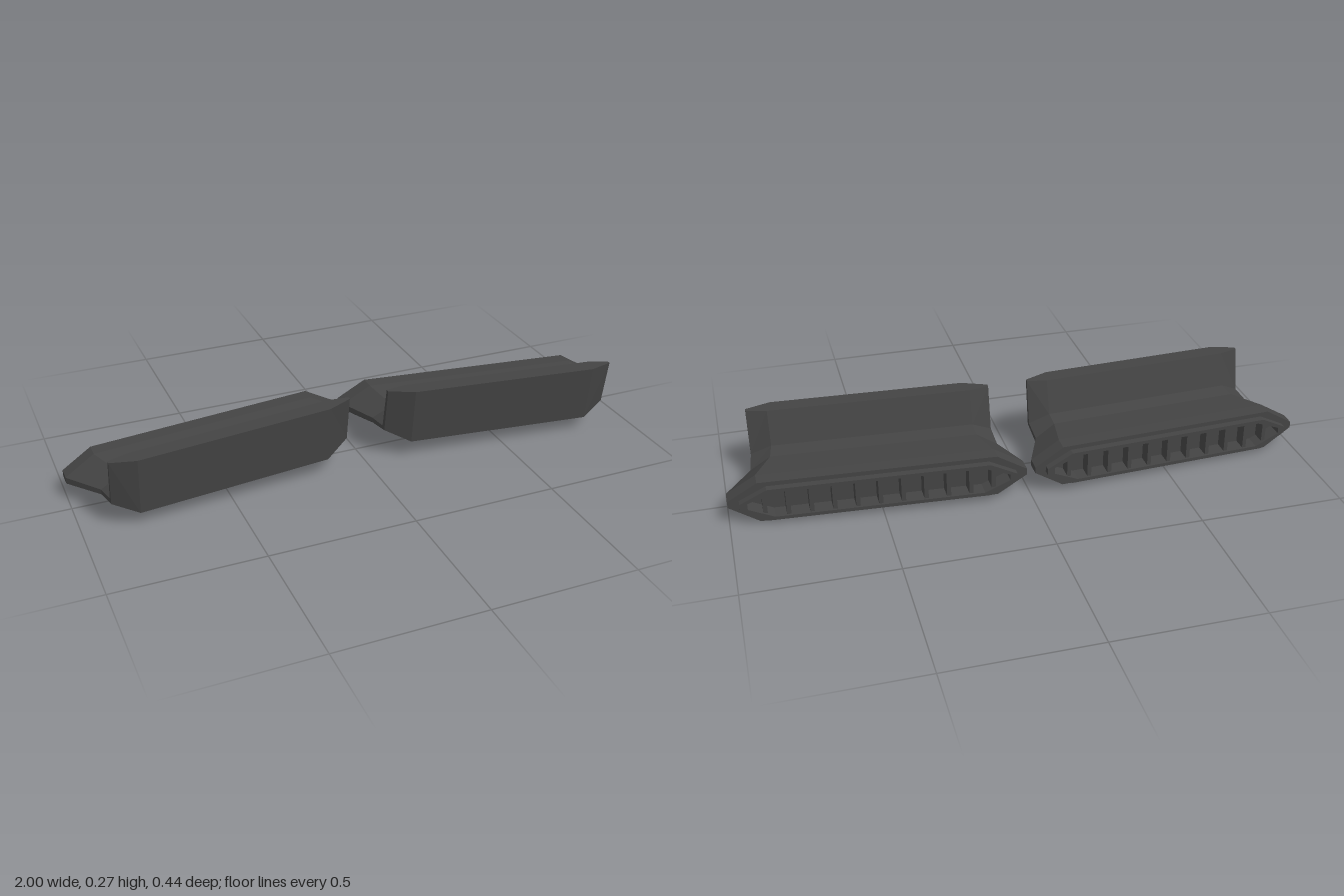
import * as THREE from 'three';

const material = new THREE.MeshStandardMaterial({ color: 0x444444, flatShading: true });

// Each duct is swept back and drops slightly toward its outer end
function slant(x, y, z) {
  const d = Math.abs(x) - 0.48;
  return [x, y - 0.02 * d, z + 0.09 * d];
}

// Stations from the top mouth, round the elbow, to the rear outlet and back into its recess.
// c: centre x, w: half width, f/b: insets of the front and back corners,
// F, T, U, B: [z, y] of the front (lower) edge, two tip edges and back (upper) edge
const stations = [
  { c: 0.485, w: 0.415, f: 0.085, b: 0.07, F: [0.187, 0.262], T: [0.155, 0.262], U: [0.143, 0.262], B: [0.126, 0.262] },
  { c: 0.485, w: 0.415, f: 0.085, b: 0.07, F: [0.16, 0.057], T: [0.127, 0.098], U: [0.112, 0.109], B: [0.09, 0.146] },
  { c: 0.49, w: 0.42, f: 0.085, b: 0.07, F: [0.036, 0.032], T: [0.025, 0.078], U: [0.025, 0.096], B: [0.03, 0.139] },
  ...[
    [-0.105, 0.4925, 0.01, 0.155, 0.1],
    [-0.157, 0.4925, 0.008, 0.155, 0.1],
    [-0.157, 0.455, 0.023, 0.14, 0.09],
    [-0.182, 0.455, 0.023, 0.14, 0.09],
    [-0.182, 0.43, 0.035, 0.128, 0.085],
    [-0.125, 0.43, 0.035, 0.128, 0.085],
  ].map(([z, w, low, high, inset]) => ({
    c: 0.507, w, f: inset, b: inset, F: [z, low], T: [z, 0.073], U: [z, 0.095], B: [z, high],
  })),
];

// Eight corners of one station
function ring({ c, w, f, b, F, T, U, B }, side) {
  const at = (dx, [z, y]) => slant(side * (c + dx), y, z);
  return [
    at(-w + f, F), at(w - f, F), at(w, T), at(w, U),
    at(w - b, B), at(-w + b, B), at(-w, U), at(-w, T),
  ];
}

function ductShell(side) {
  const rings = stations.map((s) => ring(s, side));
  const out = [];
  const tri = (a, b, c) => out.push(...a, ...(side > 0 ? [...b, ...c] : [...c, ...b]));
  for (let s = 0; s < rings.length - 1; s++) {
    const a = rings[s], b = rings[s + 1];
    for (let i = 0; i < 8; i++) {
      const j = (i + 1) % 8;
      tri(b[i], b[j], a[j]);
      tri(b[i], a[j], a[i]);
    }
  }
  // Top cap and recess floor
  const top = rings[0], floor = rings[rings.length - 1];
  for (let i = 1; i < 7; i++) {
    tri(top[0], top[i], top[i + 1]);
    tri(floor[0], floor[i + 1], floor[i]);
  }
  const geometry = new THREE.BufferGeometry();
  geometry.setAttribute('position', new THREE.Float32BufferAttribute(out, 3));
  geometry.computeVertexNormals();
  return geometry;
}

// Upright slat, shortened where the outlet tapers
function slatGeometry(side, dx) {
  const taper = Math.min(1, Math.max(0, (Math.abs(dx) - 0.345) / 0.085));
  const low = THREE.MathUtils.lerp(0.035, 0.073, taper);
  const high = THREE.MathUtils.lerp(0.128, 0.095, taper);
  const geometry = new THREE.BoxGeometry(0.014, high - low, 0.05);
  geometry.translate(side * (0.507 + dx), (low + high) / 2, -0.149);
  const p = geometry.attributes.position;
  for (let i = 0; i < p.count; i++) p.setXYZ(i, ...slant(p.getX(i), p.getY(i), p.getZ(i)));
  geometry.computeVertexNormals();
  return geometry;
}

function part(geometry, name) {
  const mesh = new THREE.Mesh(geometry, material);
  mesh.name = name;
  return mesh;
}

export function createModel() {
  const model = new THREE.Group();
  model.name = 'airDuctPair';
  for (const side of [1, -1]) {
    const duct = new THREE.Group();
    duct.name = side > 0 ? 'leftDuct' : 'rightDuct';
    duct.add(part(ductShell(side), 'ductShell'));
    // Outlet grille
    const grille = new THREE.Group();
    grille.name = 'outletGrille';
    for (let i = -5; i <= 5; i++) grille.add(part(slatGeometry(side, i * 0.075), 'grilleSlat'));
    duct.add(grille);
    model.add(duct);
  }
  return model;
}
